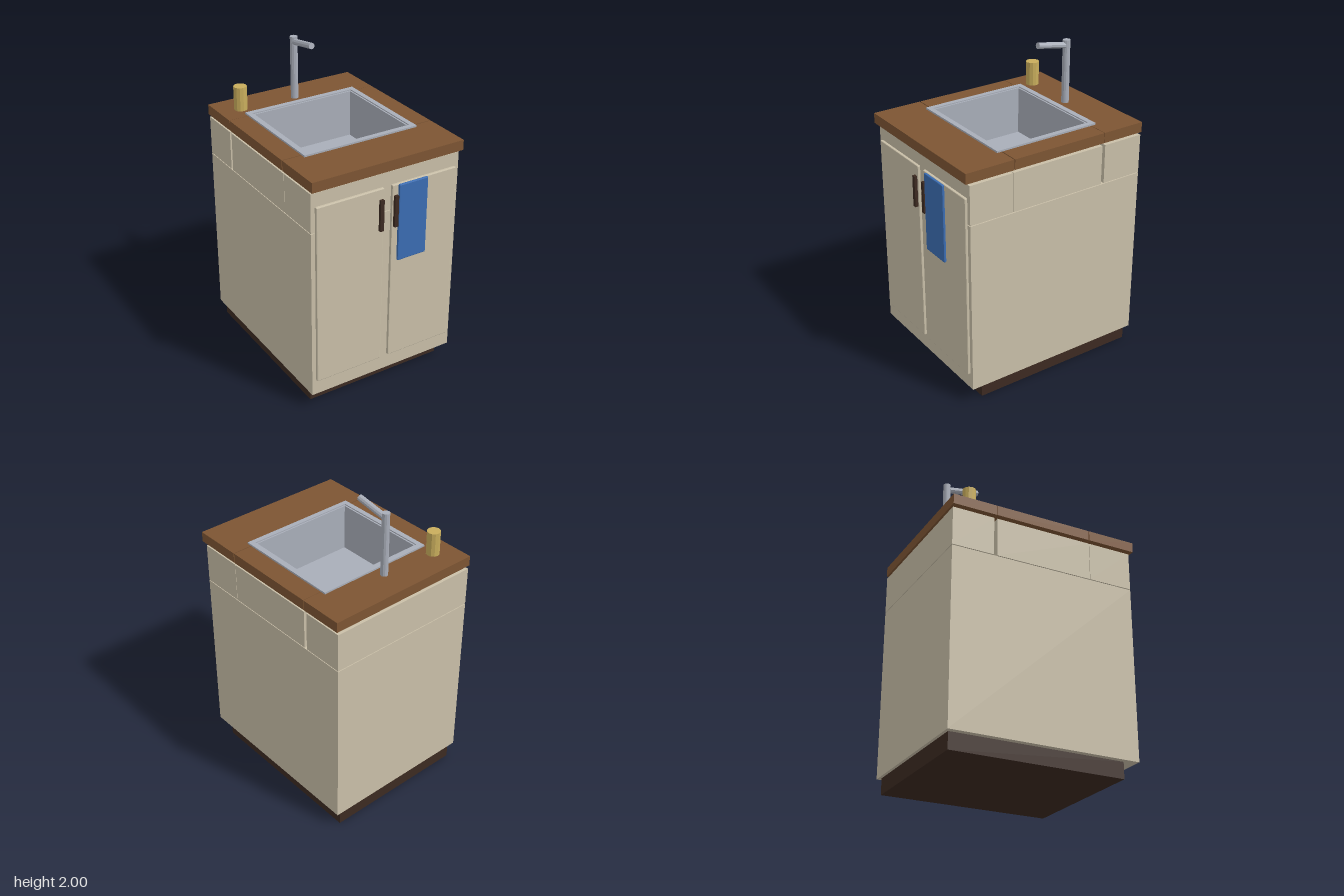
import * as THREE from 'three';
import { RoundedBoxGeometry } from 'three/addons/geometries/RoundedBoxGeometry.js';

const mat = (name, color) => {
  const m = new THREE.MeshStandardMaterial({ color });
  m.name = name;
  return m;
};

// Faceted normals
function flat(geo) {
  const g = geo.index ? geo.toNonIndexed() : geo;
  g.computeVertexNormals();
  return g;
}

export function createModel() {
  const model = new THREE.Group();
  model.name = 'sinkCabinet';
  const paint = mat('creamPaint', 0xc9bfa8);
  const wood = mat('brownWood', 0x7d5533);
  const steel = mat('greySteel', 0xa9aeb9);
  const dark = mat('darkBrown', 0x3c2a21);
  const cloth = mat('blueCloth', 0x3b6db3);
  const brass = mat('brass', 0xc8ad5c);

  const add = (name, geo, material, parent = model) => {
    const mesh = new THREE.Mesh(geo, material);
    mesh.name = name;
    parent.add(mesh);
    return mesh;
  };

  // Box given by its limits, with an optional chamfer
  const box = (name, material, [x0, x1], [y0, y1], [z0, z1], bevel = 0, parent = model) => {
    const w = x1 - x0, h = y1 - y0, d = z1 - z0;
    const geo = bevel
      ? flat(new RoundedBoxGeometry(w, h, d, 1, bevel))
      : new THREE.BoxGeometry(w, h, d);
    const mesh = add(name, geo, material, parent);
    mesh.position.set((x0 + x1) / 2, (y0 + y1) / 2, (z0 + z1) / 2);
    return mesh;
  };

  // Four blocks around a rectangular opening; the side blocks may stop short
  const ring = (name, material, x, inX, y, [z0, z1], [in0, in1], [s0, s1]) => {
    const group = new THREE.Group();
    group.name = name;
    model.add(group);
    box(name + 'Front', material, [-x, x], y, [in1, z1], 0, group);
    box(name + 'Back', material, [-x, x], y, [z0, in0], 0, group);
    box(name + 'Left', material, [inX, x], y, [s0, s1], 0, group);
    box(name + 'Right', material, [-x, -inX], y, [s0, s1], 0, group);
  };

  // Plinth and carcass
  box('plinth', dark, [-0.475, 0.475], [0, 0.105], [-0.612, 0.51]);
  box('cabinetBody', paint, [-0.51, 0.51], [0.105, 1.229], [-0.631, 0.596]);
  ring('upperCabinet', paint, 0.51, 0.365, [1.234, 1.484], [-0.631, 0.596],
    [-0.359, 0.305], [-0.338, 0.302]);

  // Worktop
  ring('worktop', wood, 0.518, 0.362, [1.504, 1.569], [-0.631, 0.626],
    [-0.345, 0.303], [-0.342, 0.297]);

  // Sink basin: rim, walls, floor and drain
  const rect = (target, x, z0, z1) => {
    target.moveTo(-x, -z1);
    target.lineTo(x, -z1);
    target.lineTo(x, -z0);
    target.lineTo(-x, -z0);
    target.closePath();
    return target;
  };
  const frame = (name, outer, inner, y0, y1) => {
    const shape = rect(new THREE.Shape(), ...outer);
    shape.holes.push(rect(new THREE.Path(), ...inner));
    const geo = new THREE.ExtrudeGeometry(shape, { depth: y1 - y0, bevelEnabled: false });
    geo.rotateX(-Math.PI / 2);
    add(name, geo, steel).position.y = y0;
  };
  frame('sinkRim', [0.39, -0.378, 0.333], [0.357, -0.343, 0.301], 1.569, 1.58);
  frame('sinkWalls', [0.358, -0.344, 0.302], [0.347, -0.333, 0.292], 1.255, 1.573);
  box('sinkFloor', steel, [-0.35, 0.35], [1.255, 1.267], [-0.336, 0.295]);
  const drain = add('drain', new THREE.CylinderGeometry(0.037, 0.037, 0.006, 24), steel);
  drain.position.set(0, 1.269, -0.022);

  // Tap: upright post and sloping spout
  const post = add('tapPost', flat(new THREE.CylinderGeometry(0.024, 0.024, 0.408, 12)), steel);
  post.position.set(0, 1.773, -0.445);
  const from = new THREE.Vector3(0, 1.942, -0.445);
  const to = new THREE.Vector3(0, 1.98, -0.228);
  const dir = to.clone().sub(from);
  const spout = add('tapSpout', flat(new THREE.CylinderGeometry(0.02, 0.02, dir.length(), 10)), steel);
  spout.position.copy(from).lerp(to, 0.5);
  spout.quaternion.setFromUnitVectors(new THREE.Vector3(0, 1, 0), dir.normalize());

  // Soap holder
  const cup = add('soapHolder', flat(new THREE.CylinderGeometry(0.042, 0.042, 0.153, 12)), brass);
  cup.position.set(-0.375, 1.6455, -0.463);

  // Doors and handles, mirrored
  for (const [side, s] of [['left', 1], ['right', -1]]) {
    const span = (a, b) => (s > 0 ? [a, b] : [-b, -a]);
    box(side + 'Door', paint, span(0.028, 0.483), [0.207, 1.397], [0.59, 0.613], 0.005);
    box(side + 'Handle', dark, span(0.038, 0.063), [1.127, 1.33], [0.611, 0.632]);
  }

  // Hanging towel
  box('towel', cloth, [0.068, 0.27], [0.89, 1.397], [0.612, 0.629], 0.005);

  return model;
}
